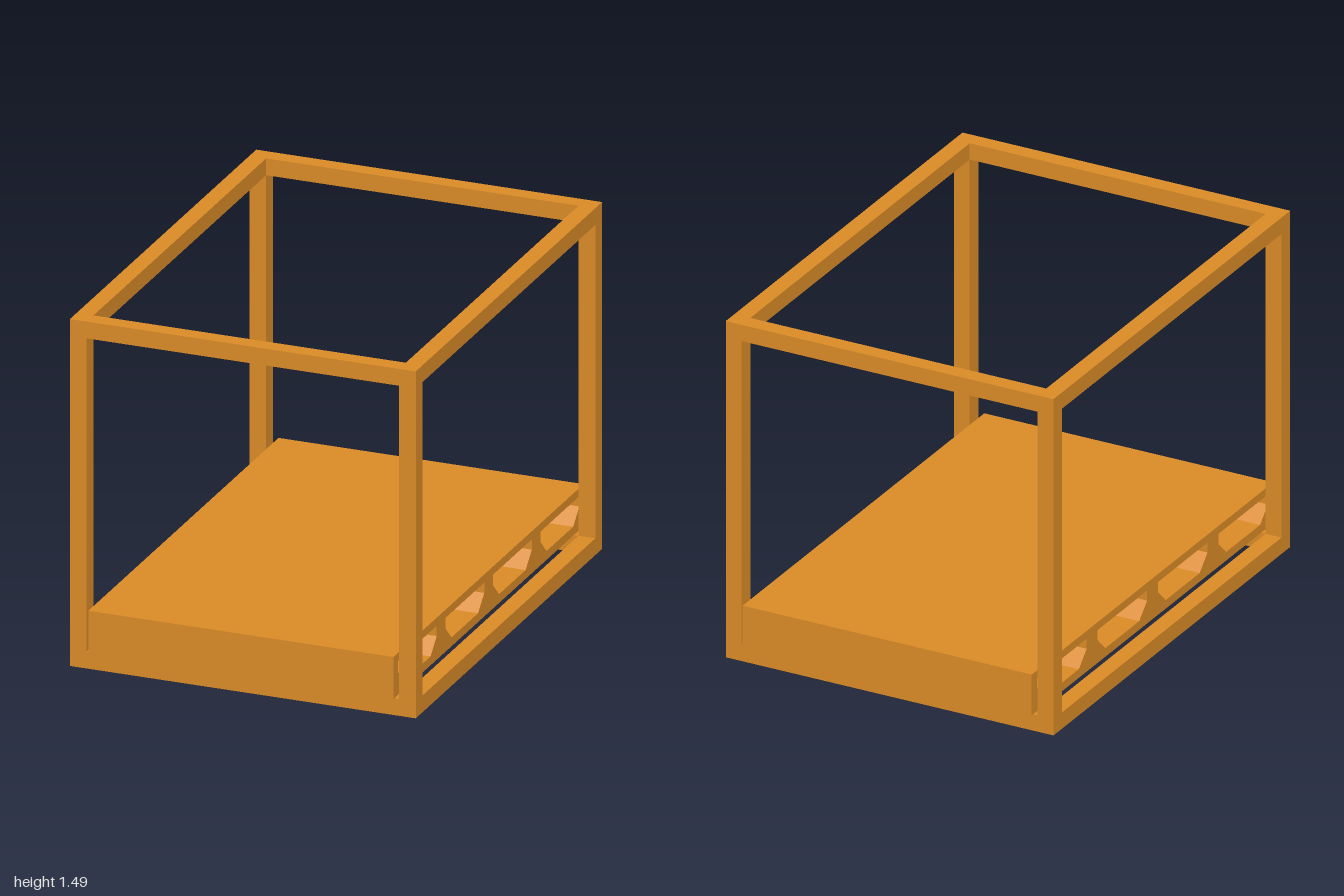
import * as THREE from 'three';

const W = 1.485, H = 1.485, D = 1.96, T = 0.072; // frame size and bar thickness

export function createModel() {
  const model = new THREE.Group();
  const material = new THREE.MeshStandardMaterial({ color: 0xd98a26, flatShading: true });

  const addBar = (parent, name, size, position) => {
    const bar = new THREE.Mesh(new THREE.BoxGeometry(...size), material);
    bar.name = name;
    bar.position.set(...position);
    parent.add(bar);
  };

  // Open box frame: four posts with rails fitted between them
  const frame = new THREE.Group();
  frame.name = 'frame';
  const px = (W - T) / 2, pz = (D - T) / 2;
  for (const s of [-1, 1]) {
    for (const e of [-1, 1]) addBar(frame, 'post', [T, H, T], [s * px, H / 2, e * pz]);
    for (const y of [T / 2, H - T / 2]) {
      addBar(frame, 'sideRail', [T, T, D - 2 * T], [s * px, y, 0]);
      addBar(frame, 'crossRail', [W - 2 * T, T, T], [0, y, s * pz]);
    }
  }
  model.add(frame);

  // Pallet deck: side profile with four chamfered openings, extruded across x
  const y0 = 0.077, y1 = 0.257, width = 1.31;
  const profile = new THREE.Shape([[-1, y0], [1, y0], [1, y1], [-1, y1]].map(p => new THREE.Vector2(...p)));
  for (const c of [-0.75, -0.25, 0.25, 0.75]) {
    const opening = [[-0.205, 0.222], [-0.205, 0.178], [-0.14, 0.115], [0.14, 0.115], [0.205, 0.178], [0.205, 0.222]];
    profile.holes.push(new THREE.Path(opening.map(([z, y]) => new THREE.Vector2(c + z, y))));
  }
  const geometry = new THREE.ExtrudeGeometry(profile, { depth: width, bevelEnabled: false });
  geometry.translate(0, 0, -width / 2).rotateY(Math.PI / 2);
  const pallet = new THREE.Mesh(geometry, material);
  pallet.name = 'pallet';
  model.add(pallet);

  return model;
}
